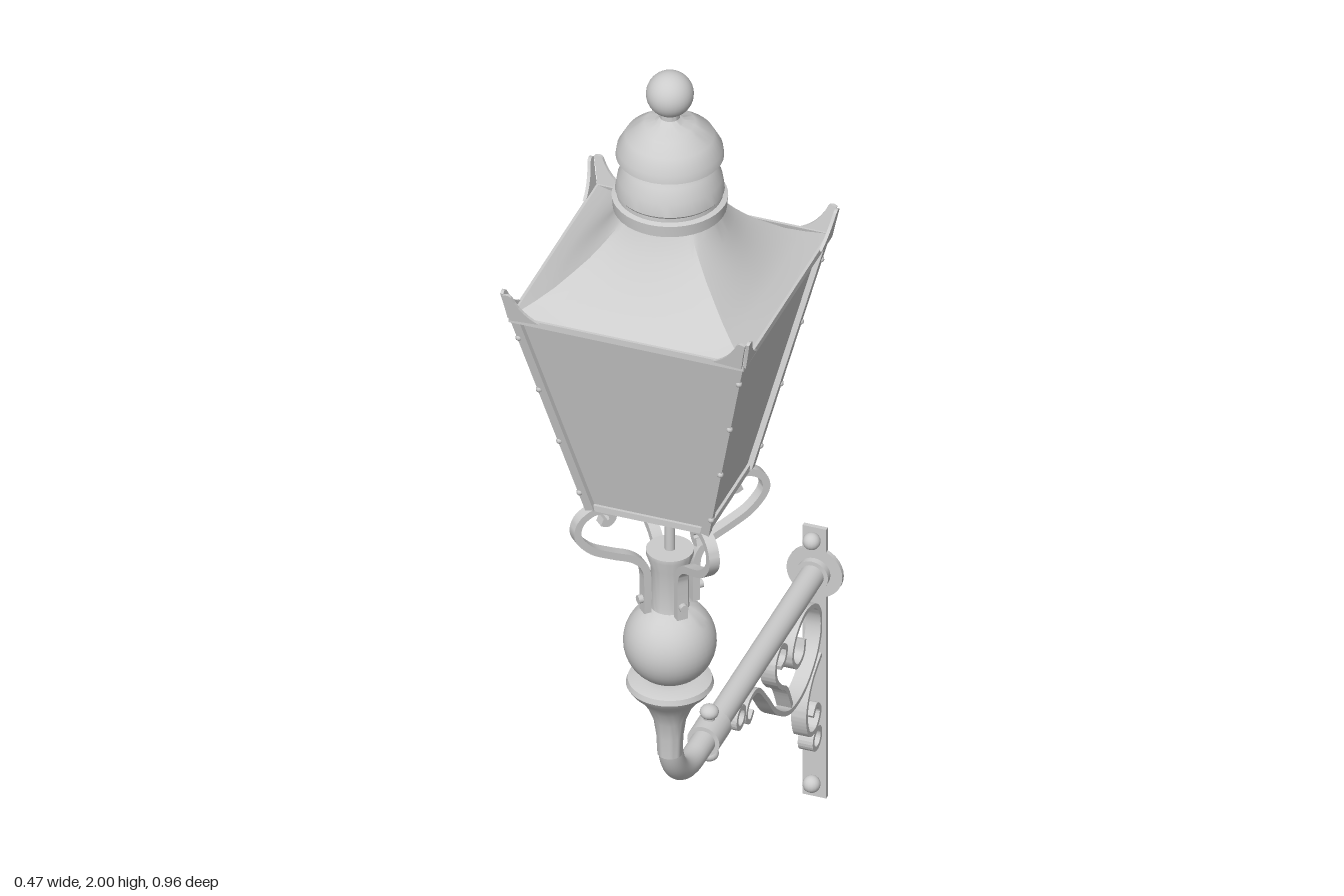
import * as THREE from 'three';
import { toCreasedNormals, mergeVertices } from 'three/addons/utils/BufferGeometryUtils.js';

const LAMP_Z = 0.25, PIPE_Y = 0.475, WALL_Z = -0.48;

export function createModel() {
  const root = new THREE.Group();
  root.name = 'wallLantern';
  const metal = new THREE.MeshStandardMaterial({ color: 0xcccccc, side: THREE.DoubleSide });
  metal.name = 'pale grey metal';

  const add = (name, geo, x = 0, y = 0, z = 0, parent = root) => {
    const mesh = new THREE.Mesh(geo, metal);
    mesh.name = name;
    mesh.position.set(x, y, z);
    parent.add(mesh);
    return mesh;
  };
  const lathe = (pts, seg = 40) =>
    toCreasedNormals(new THREE.LatheGeometry(pts.map(p => new THREE.Vector2(p[0], p[1])), seg), 0.6);
  // Flat bar of given thickness bent along a planar curve
  const ribbon = (pts, thick, width, n = 60) => {
    const curve = new THREE.SplineCurve(pts.map(p => new THREE.Vector2(p[0], p[1])));
    const a = [], b = [];
    for (let i = 0; i <= n; i++) {
      const p = curve.getPoint(i / n), t = curve.getTangent(i / n);
      const off = new THREE.Vector2(-t.y, t.x).multiplyScalar(thick / 2);
      a.push(p.clone().add(off));
      b.push(p.clone().sub(off));
    }
    const geo = new THREE.ExtrudeGeometry(new THREE.Shape([...a, ...b.reverse()]),
      { depth: width, bevelEnabled: false });
    return toCreasedNormals(geo.translate(0, 0, -width / 2), 0.6);
  };
  // Horizontal square ring with its underside at y = 0
  const squareRing = (outer, inner, h) => {
    const sq = s => [[-s, -s], [s, -s], [s, s], [-s, s]].map(p => new THREE.Vector2(p[0], p[1]));
    const shape = new THREE.Shape(sq(outer));
    shape.holes.push(new THREE.Path(sq(inner)));
    return new THREE.ExtrudeGeometry(shape, { depth: h, bevelEnabled: false }).rotateX(-Math.PI / 2);
  };

  const lantern = new THREE.Group();
  lantern.name = 'lantern';
  lantern.position.z = LAMP_Z;
  root.add(lantern);

  // Vented chimney and ball finial
  add('chimney', lathe([[0.085, 1.715], [0.1, 1.722], [0.102, 1.745], [0.093, 1.748], [0.093, 1.756],
    [0.096, 1.76], [0.092, 1.785], [0.08, 1.81], [0.065, 1.83], [0.062, 1.84]]), 0, 0, 0, lantern);
  add('chimneyCap', lathe([[0.06, 1.836], [0.095, 1.83], [0.093, 1.845], [0.078, 1.872], [0.055, 1.89],
    [0.045, 1.898], [0.026, 1.902], [0.018, 1.91], [0.018, 1.93]]), 0, 0, 0, lantern);
  add('finialBall', new THREE.SphereGeometry(0.042, 32, 20), 0, 1.958, 0, lantern);

  // Concave roof lofted from a square eave to a round neck
  const profile = [[0.217, 1.572], [0.185, 1.592], [0.163, 1.61], [0.143, 1.632], [0.125, 1.653],
    [0.108, 1.678], [0.094, 1.702], [0.085, 1.725]];
  const N = 64, pos = [], idx = [];
  profile.forEach(([r, y], k) => {
    const blend = Math.pow(k / (profile.length - 1), 1.5);
    for (let i = 0; i < N; i++) {
      const a = i / N * Math.PI * 2, c = Math.cos(a), s = Math.sin(a);
      const f = r * ((1 - blend) / Math.max(Math.abs(c), Math.abs(s)) + blend);
      pos.push(c * f, y, s * f);
      const j = (i + 1) % N, o = k * N;
      if (k < profile.length - 1) idx.push(o + i, o + N + i, o + j, o + j, o + N + i, o + N + j);
    }
  });
  const roof = new THREE.BufferGeometry();
  roof.setAttribute('position', new THREE.Float32BufferAttribute(pos, 3));
  roof.setIndex(idx);
  add('roof', toCreasedNormals(roof, 0.5), 0, 0, 0, lantern);
  add('eaveRim', squareRing(0.219, 0.195, 0.012), 0, 1.562, 0, lantern);

  // Tapered panes and bottom frame
  const panes = new THREE.CylinderGeometry(0.206 * Math.SQRT2, 0.105 * Math.SQRT2, 0.44, 4, 1, true)
    .rotateY(Math.PI / 4).toNonIndexed();
  panes.computeVertexNormals();
  add('panes', panes, 0, 1.345, 0, lantern);
  add('bottomFrame', squareRing(0.112, 0.082, 0.012), 0, 1.12, 0, lantern);
  add('burnerPipe', new THREE.CylinderGeometry(0.009, 0.009, 0.28, 16), 0, 1.12, 0, lantern);
  add('burner', lathe([[0, 1.25], [0.016, 1.25], [0.02, 1.27], [0.012, 1.3], [0, 1.3]], 20), 0, 0, 0, lantern);

  // Corner pieces: post, studs, folded ear and scrolled support arm
  const armPath = [[0.033, 0.875], [0.033, 0.93], [0.036, 0.97], [0.052, 0.996], [0.08, 1.015], [0.108, 1.037],
    [0.127, 1.07], [0.124, 1.1], [0.106, 1.117], [0.088, 1.113], [0.08, 1.099], [0.086, 1.087], [0.095, 1.092]]
    .map(([x, y]) => [x * Math.SQRT2, y]);
  const armGeo = ribbon(armPath, 0.014, 0.02);
  const top = new THREE.Vector3(0.209 * Math.SQRT2, 1.568, 0);
  const bottom = new THREE.Vector3(0.107 * Math.SQRT2, 1.122, 0);
  const along = bottom.clone().sub(top);
  const tilt = Math.atan2(top.x - bottom.x, top.y - bottom.y);
  // Ear wing: curved triangular plate running along the eave from the corner
  const wing = new THREE.Shape();
  wing.moveTo(0, 0);
  wing.lineTo(0.055, 0.004);
  wing.quadraticCurveTo(0.022, 0.018, 0.006, 0.055);
  wing.quadraticCurveTo(0, 0.062, -0.01, 0.056);
  wing.quadraticCurveTo(-0.004, 0.03, 0, 0);
  const wingGeo = new THREE.ExtrudeGeometry(wing, { depth: 0.006, bevelEnabled: false, curveSegments: 6 });
  const p = wingGeo.attributes.position;
  for (let i = 0; i < p.count; i++) p.setZ(i, p.getZ(i) + 0.18 * p.getY(i));
  wingGeo.computeVertexNormals();

  for (let k = 0; k < 4; k++) {
    const corner = new THREE.Group();
    corner.name = 'corner' + (k + 1);
    corner.rotation.y = Math.PI / 4 + k * Math.PI / 2;
    lantern.add(corner);
    const mid = top.clone().add(bottom).multiplyScalar(0.5);
    const post = add('cornerPost', new THREE.BoxGeometry(0.016, along.length(), 0.016)
      .rotateY(Math.PI / 4), mid.x, mid.y, 0, corner);
    post.rotation.z = -tilt;
    for (let i = 0; i < 4; i++) {
      const q = top.clone().addScaledVector(along, 0.1 + i * 0.27);
      add('postStud', new THREE.SphereGeometry(0.006, 8, 6), q.x + 0.009, q.y, 0, corner);
    }
    add('supportArm', armGeo, 0, 0, 0, corner);
    const bolt = add('armBolt', new THREE.CylinderGeometry(0.008, 0.008, 0.012, 10), 0.056, 0.902, 0, corner);
    bolt.rotation.z = Math.PI / 2;
    // Two mirrored wings meet at the corner
    for (const side of [1, -1]) {
      const ear = add('cornerEar', wingGeo, 0.216 * Math.SQRT2, 1.568, 0, corner);
      ear.rotation.y = side === 1 ? -Math.PI * 0.75 : Math.PI * 0.75;
      ear.scale.z = -side;
    }
  }

  // Turned column with ball and collar
  const ball = [];
  for (let i = 0; i <= 16; i++) {
    const a = -1.16 + i / 16 * 2.3;
    ball.push([0.082 * Math.cos(a), 0.8 + 0.082 * Math.sin(a)]);
  }
  add('column', lathe([[0.022, 0.56], [0.024, 0.6], [0.029, 0.635], [0.04, 0.662], [0.055, 0.684], [0.07, 0.699],
    [0.077, 0.71], [0.074, 0.72], [0.055, 0.727], ...ball, [0.033, 0.885], [0.034, 0.96], [0.042, 0.985],
    [0.042, 0.993], [0, 0.993]]), 0, 0, LAMP_Z);

  // Bent pipe running back to the wall
  const path = new THREE.CurvePath();
  const v = (y, z) => new THREE.Vector3(0, y, z);
  path.add(new THREE.LineCurve3(v(0.62, LAMP_Z), v(0.595, LAMP_Z)));
  path.add(new THREE.CubicBezierCurve3(v(0.595, LAMP_Z), v(0.525, LAMP_Z), v(PIPE_Y, 0.2), v(PIPE_Y, 0.13)));
  path.add(new THREE.LineCurve3(v(PIPE_Y, 0.13), v(PIPE_Y, -0.47)));
  add('pipe', new THREE.TubeGeometry(path, 90, 0.022, 24));

  // Clamp with knobs above and below
  add('clamp', new THREE.CylinderGeometry(0.03, 0.03, 0.06, 24).rotateX(Math.PI / 2), 0, PIPE_Y, 0.053);
  for (const s of [1, -1]) {
    add('clampStem', new THREE.CylinderGeometry(0.01, 0.01, 0.03, 12), 0, PIPE_Y + s * 0.03, 0.053);
    add('clampKnob', new THREE.SphereGeometry(0.017, 16, 12).scale(1, 0.8, 1), 0, PIPE_Y + s * 0.044, 0.053);
  }

  // Wall plate, rosette and bolts
  add('wallPlate', new THREE.BoxGeometry(0.044, 0.57, 0.008), 0, 0.285, WALL_Z + 0.004);
  add('rosette', new THREE.CylinderGeometry(0.052, 0.052, 0.008, 32).rotateX(Math.PI / 2), 0, PIPE_Y, WALL_Z + 0.004);
  add('pipeCollar', new THREE.CylinderGeometry(0.03, 0.03, 0.014, 24).rotateX(Math.PI / 2), 0, PIPE_Y, WALL_Z + 0.013);
  for (const y of [0.55, 0.035]) {
    add('wallBolt', new THREE.SphereGeometry(0.016, 16, 12), 0, y, WALL_Z + 0.022);
  }

  // Scrollwork under the pipe, drawn as [z, y]
  const scroll = (name, pts) =>
    add(name, ribbon(pts, 0.009, 0.028, 90).rotateY(-Math.PI / 2));
  scroll('mainScroll', [[-0.132, 0.405], [-0.113, 0.394], [-0.097, 0.412], [-0.113, 0.436], [-0.155, 0.433],
    [-0.2, 0.385], [-0.25, 0.325], [-0.317, 0.283], [-0.39, 0.283], [-0.45, 0.32], [-0.471, 0.373], [-0.45, 0.42],
    [-0.397, 0.442], [-0.349, 0.426], [-0.328, 0.389], [-0.349, 0.357], [-0.381, 0.362], [-0.39, 0.389]]);
  scroll('smallScroll', [[-0.27, 0.405], [-0.29, 0.41], [-0.297, 0.432], [-0.27, 0.449], [-0.245, 0.428],
    [-0.247, 0.394], [-0.27, 0.365], [-0.3, 0.34], [-0.325, 0.29]]);
  scroll('lowerScroll', [[-0.472, 0.305], [-0.425, 0.275], [-0.398, 0.225], [-0.41, 0.175], [-0.445, 0.165],
    [-0.466, 0.19], [-0.448, 0.212], [-0.43, 0.198]]);
  for (const [z, y] of [[-0.07, 0.43], [-0.45, 0.14]]) {
    const r = 0.02, ring = new THREE.Shape().absarc(0, 0, r + 0.004, 0, Math.PI * 2);
    ring.holes.push(new THREE.Path().absarc(0, 0, r - 0.005, 0, Math.PI * 2));
    add('scrollRing', new THREE.ExtrudeGeometry(ring, { depth: 0.028, bevelEnabled: false })
      .translate(0, 0, -0.014).rotateY(-Math.PI / 2), 0, y, z);
  }
  return root;
}
